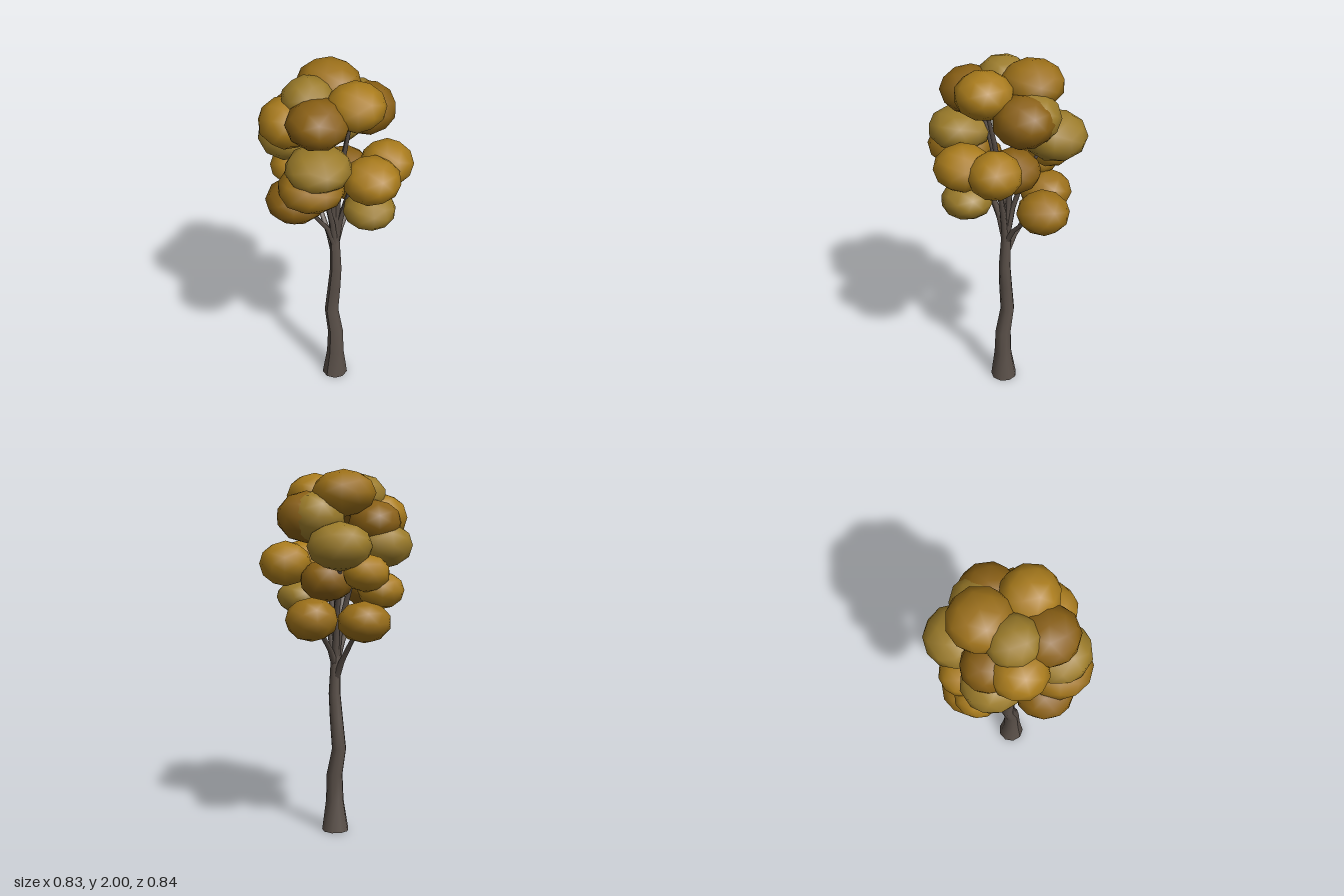
import * as THREE from 'three';

const bark = new THREE.MeshStandardMaterial({ color: 0x5a5049 });
const gold = new THREE.MeshStandardMaterial({ color: 0xaa7c1c });
const amber = new THREE.MeshStandardMaterial({ color: 0x9c7019 });
const umber = new THREE.MeshStandardMaterial({ color: 0x8a6014 });
const olive = new THREE.MeshStandardMaterial({ color: 0x9c7c2a });

// Tapered limb through rings of [x, y, z, radius], listed from bottom to top
function limb(name, rings, sides) {
  const n = rings.length - 1;
  const geo = new THREE.CylinderGeometry(1, 1, 1, sides, n);
  const p = geo.attributes.position;
  for (let i = 0; i < p.count; i++) {
    const [x, y, z, r] = rings[Math.round((p.getY(i) + 0.5) * n)];
    p.setXYZ(i, x + p.getX(i) * r, y, z + p.getZ(i) * r);
  }
  geo.computeVertexNormals();
  const mesh = new THREE.Mesh(geo, bark);
  mesh.name = name;
  return mesh;
}

// Leaf clusters: x, y, z, horizontal radius, vertical radius, material
const clusters = [
  // crown
  [-0.12, 1.875, -0.105, 0.173, 0.125, amber],
  [0.138, 1.863, -0.012, 0.156, 0.124, gold],
  [-0.10, 1.86, 0.08, 0.142, 0.122, olive],
  [0.045, 1.81, 0.175, 0.165, 0.125, umber],
  [-0.165, 1.745, 0.17, 0.153, 0.135, gold],
  [-0.23, 1.72, 0.03, 0.143, 0.12, umber],
  [0.05, 1.75, -0.205, 0.163, 0.138, umber],
  [-0.01, 1.75, -0.2, 0.158, 0.138, olive],
  // middle
  [-0.25, 1.6, 0.07, 0.165, 0.127, olive],
  [-0.178, 1.6, -0.22, 0.173, 0.13, olive],
  [0.085, 1.59, 0.22, 0.174, 0.113, olive],
  [0.06, 1.48, 0.245, 0.178, 0.117, amber],
  [0.268, 1.495, 0.015, 0.154, 0.122, gold],
  [0.222, 1.497, -0.17, 0.144, 0.124, gold],
  [-0.27, 1.46, -0.11, 0.127, 0.102, gold],
  // skirt
  [-0.05, 1.36, 0.245, 0.16, 0.118, umber],
  [0.0, 1.41, -0.09, 0.15, 0.118, umber],
  [-0.288, 1.365, 0.0, 0.126, 0.102, gold],
  [0.25, 1.305, 0.005, 0.14, 0.1, olive],
  [-0.25, 1.2, -0.1, 0.146, 0.112, amber],
  [-0.035, 1.215, -0.275, 0.143, 0.117, amber],
];

// Branch tips: x, y, z, height of the fork, sideways share at the two bends
const tips = [
  [-0.25, 1.2, -0.1, 0.85, 0.22, 0.58],
  [-0.035, 1.215, -0.275, 0.93, 0.2, 0.58],
  [-0.05, 1.36, 0.245, 0.93, 0.2, 0.6],
  [0.06, 1.48, 0.2, 0.93, 0.18, 0.5],
  [0.22, 1.5, -0.1, 0.93, 0.12, 0.35],
  [-0.178, 1.6, -0.2, 0.93, 0.15, 0.45],
  [-0.2, 1.6, 0.07, 0.93, 0.12, 0.4],
  [-0.12, 1.85, -0.1, 0.93, 0.15, 0.5],
  [0.13, 1.85, 0, 0.93, 0.15, 0.5],
  [0.045, 1.78, 0.12, 0.93, 0.15, 0.5],
];

export function createModel() {
  const tree = new THREE.Group();
  tree.name = 'tree';

  // Crooked trunk with flared foot
  tree.add(limb('trunk', [
    [-0.005, 0, -0.02, 0.075], [0, 0.17, -0.018, 0.05], [0, 0.32, -0.02, 0.045],
    [-0.032, 0.47, -0.022, 0.04], [-0.015, 0.64, -0.024, 0.037], [-0.004, 0.78, -0.026, 0.033],
    [-0.012, 0.95, -0.028, 0.028], [-0.012, 1.05, -0.028, 0.02],
  ], 9));

  const branches = new THREE.Group();
  branches.name = 'branches';
  const foliage = new THREE.Group();
  foliage.name = 'foliage';
  tree.add(branches, foliage);

  const ball = new THREE.IcosahedronGeometry(1, 1);
  clusters.forEach(([x, y, z, r, h, material], i) => {
    const leaf = new THREE.Mesh(ball, material);
    leaf.name = 'leafCluster' + (i + 1);
    leaf.position.set(x, y, z);
    leaf.scale.set(r, h, r);
    leaf.rotation.y = i * 1.3;
    foliage.add(leaf);
  });

  // Branches bend outward twice on the way to their tips
  tips.forEach(([x, y, z, fork, bend1, bend2], i) => {
    const at = (side, rise, radius) => [
      THREE.MathUtils.lerp(-0.01, x, side), THREE.MathUtils.lerp(fork, y, rise),
      THREE.MathUtils.lerp(-0.027, z, side), radius,
    ];
    branches.add(limb('branch' + (i + 1),
      [at(0, 0, 0.02), at(bend1, 0.33, 0.017), at(bend2, 0.68, 0.014), at(1, 1, 0.009)], 6));
  });

  return tree;
}
